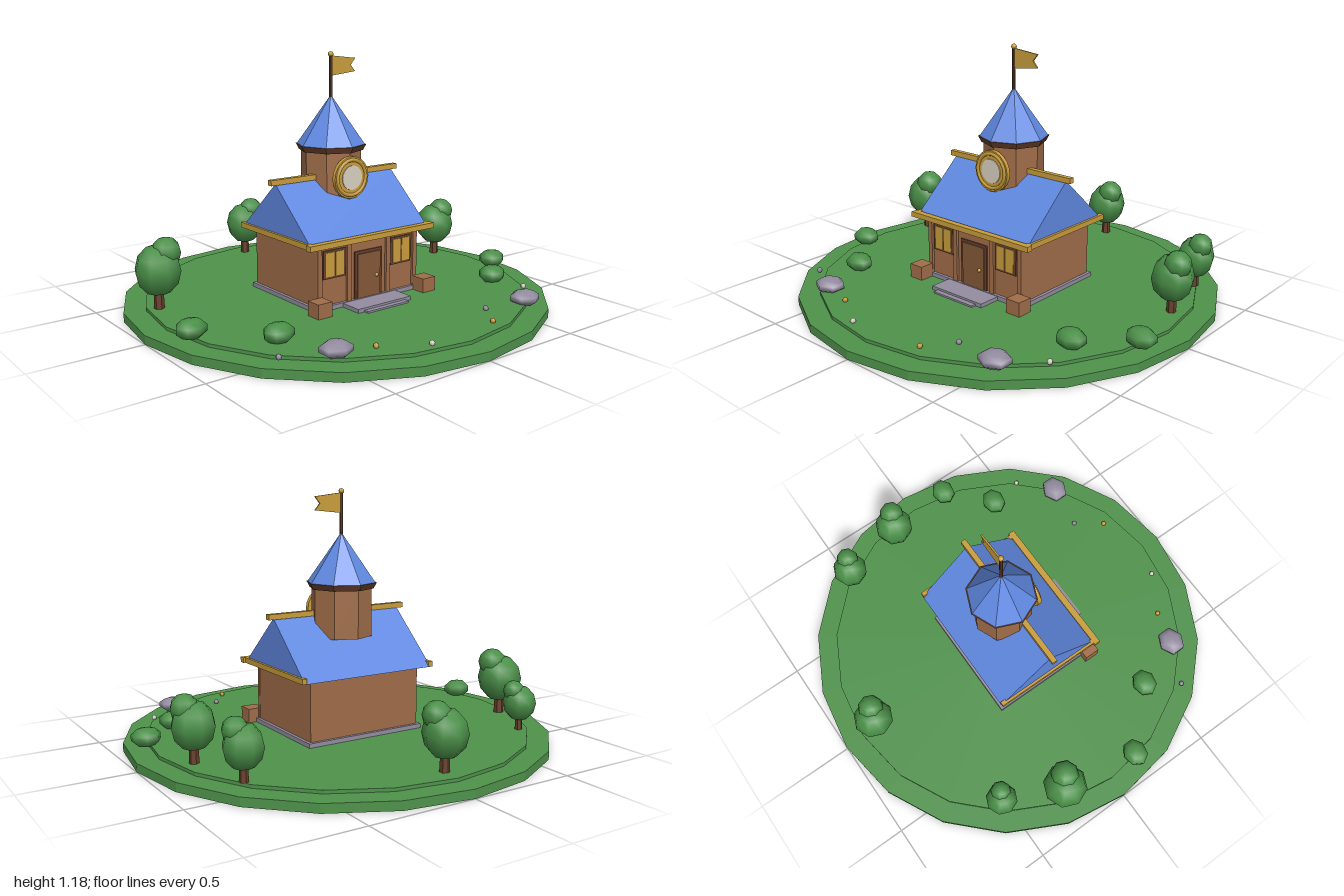
import * as THREE from 'three';

const paint = (name, color) => {
  const m = new THREE.MeshStandardMaterial({ color });
  m.name = name;
  return m;
};

export function createModel() {
  const grass = paint('grass green', 0x4f924b);
  const leaf = paint('leaf green', 0x4a8f48);
  const wood = paint('wall brown', 0xa06d49);
  const dark = paint('dark timber', 0x67402b);
  const doorWood = paint('door brown', 0x855839);
  const blue = paint('roof blue', 0x6088e0);
  const gold = paint('gold', 0xc99d3c);
  const stone = paint('stone grey', 0x938ca0);
  const pale = paint('pale cream', 0xd8d2c0);

  const model = new THREE.Group();
  model.name = 'clockTowerHouse';

  const group = (name, parent = model) => {
    const g = new THREE.Group();
    g.name = name;
    parent.add(g);
    return g;
  };
  const add = (name, geo, mat, x, y, z, parent = model) => {
    const mesh = new THREE.Mesh(geo, mat);
    mesh.name = name;
    mesh.position.set(x, y, z);
    parent.add(mesh);
    return mesh;
  };
  // Box given by its extents along each axis
  const box = (name, mat, [x0, x1], [y0, y1], [z0, z1], parent = model) =>
    add(name, new THREE.BoxGeometry(x1 - x0, y1 - y0, z1 - z0), mat,
      (x0 + x1) / 2, (y0 + y1) / 2, (z0 + z1) / 2, parent);
  // Faceted cylinder between two heights
  const prism = (name, mat, rTop, rBottom, y0, y1, sides, x, z, parent = model) => {
    const geo = new THREE.CylinderGeometry(rTop, rBottom, y1 - y0, sides).toNonIndexed();
    geo.computeVertexNormals();
    return add(name, geo, mat, x, (y0 + y1) / 2, z, parent);
  };
  const ball = (name, mat, r, sides, rings, x, y, z, parent = model) =>
    add(name, new THREE.SphereGeometry(r, sides, rings), mat, x, y, z, parent);

  // Ground discs
  const top = 0.055;
  prism('groundBase', grass, 1, 1, 0, 0.04, 20, 0, 0);
  prism('lawn', grass, 0.9, 0.9, 0.04, top, 20, 0, 0);

  // House body, plinth and steps
  const house = group('house');
  box('plinth', stone, [-0.305, 0.305], [top, 0.075], [-0.255, 0.255], house);
  box('walls', wood, [-0.29, 0.29], [0.07, 0.355], [-0.24, 0.24], house);
  box('upperStep', stone, [-0.155, 0.155], [top, 0.073], [0.25, 0.365], house);
  box('lowerStep', stone, [-0.12, 0.12], [0.05, 0.063], [0.36, 0.39], house);

  // Door
  const door = group('door', house);
  box('doorFrame', dark, [-0.08, 0.08], [0.075, 0.295], [0.238, 0.247], door);
  box('doorPanel', doorWood, [-0.066, 0.066], [0.075, 0.282], [0.243, 0.252], door);
  ball('doorKnob', gold, 0.009, 8, 6, 0.042, 0.17, 0.255, door);
  box('doorPlaque', gold, [-0.105, 0.105], [0.338, 0.352], [0.24, 0.256], house);
  box('frontBeam', dark, [-0.29, 0.29], [0.335, 0.352], [0.238, 0.246], house);

  // Windows, posts and crates on both sides
  for (const s of [-1, 1]) {
    const win = group(s < 0 ? 'rightWindow' : 'leftWindow', house);
    win.position.set(s * 0.195, 0.262, 0);
    box('windowFrame', dark, [-0.062, 0.062], [-0.065, 0.065], [0.238, 0.247], win);
    for (const p of [-1, 1])
      add('windowPane', new THREE.BoxGeometry(0.046, 0.11, 0.008), gold, p * 0.027, 0, 0.246, win);
    for (const x of [0.28, 0.115])
      box('wallPost', wood, [s * x - 0.012, s * x + 0.012], [0.075, 0.34], [0.236, 0.252], house);
    const crate = group('crate');
    crate.position.set(s * 0.307, 0, 0);
    box('crateBox', wood, [-0.038, 0.038], [top, 0.122], [0.25, 0.326], crate);
  }

  // Gable roof with gold trim
  const roof = group('roof');
  const gable = new THREE.Shape([[-0.28, 0.35], [0.28, 0.35], [0, 0.6]].map(p => new THREE.Vector2(...p)));
  const roofGeo = new THREE.ExtrudeGeometry(gable, { depth: 0.68, bevelEnabled: false });
  roofGeo.translate(0, 0, -0.34).rotateY(Math.PI / 2);
  add('roofPrism', roofGeo, blue, 0, 0, 0, roof);
  box('ridgeBeam', gold, [-0.37, 0.37], [0.595, 0.62], [-0.013, 0.013], roof);
  box('frontEaveTrim', gold, [-0.362, 0.362], [0.35, 0.375], [0.262, 0.293], roof);
  for (const s of [-1, 1]) {
    const x = s * 0.341;
    box('sideEaveTrim', gold, [x - 0.011, x + 0.011], [0.35, 0.375], [-0.278, 0.28], roof);
  }

  // Octagonal tower with spire
  const tower = group('tower');
  tower.position.z = -0.035;
  prism('towerBody', wood, 0.143, 0.143, 0.498, 0.73, 8, 0, 0, tower);
  prism('towerCornice', dark, 0.167, 0.152, 0.72, 0.748, 8, 0, 0, tower);
  prism('spire', blue, 0, 0.163, 0.745, 0.977, 8, 0, 0, tower);
  prism('flagPole', dark, 0.008, 0.008, 0.96, 1.165, 8, 0, 0, tower);
  ball('poleFinial', gold, 0.013, 8, 6, 0, 1.164, 0, tower);
  const flag = new THREE.Shape([[0.005, 1.065], [0.142, 1.08], [0.116, 1.11], [0.142, 1.142], [0.005, 1.157]]
    .map(p => new THREE.Vector2(...p)));
  add('flag', new THREE.ExtrudeGeometry(flag, { depth: 0.008, bevelEnabled: false }), gold, 0, 0, -0.004, tower);

  // Clock on the tower front
  const clock = group('clock');
  clock.position.set(0, 0.608, 0.104);
  const disc = (name, mat, r, depth, z) =>
    add(name, new THREE.CylinderGeometry(r, r, depth, 20).rotateX(Math.PI / 2), mat, 0, 0, z, clock);
  disc('clockRim', gold, 0.098, 0.02, 0.01);
  disc('clockFace', pale, 0.057, 0.006, 0.021);
  add('clockRing', new THREE.TorusGeometry(0.082, 0.01, 6, 20), gold, 0, 0, 0.018, clock);

  // Trees: x, z, scale
  const trees = [[0, -0.81, 0.98], [-0.68, -0.52, 0.77], [-0.81, -0.24, 1.07], [0.74, -0.485, 0.88], [0.81, -0.165, 0.98]];
  for (const [x, z, s] of trees) {
    const tree = group('tree');
    tree.position.set(x, top, z);
    tree.scale.setScalar(s);
    prism('trunk', dark, 0.018, 0.023, 0, 0.12, 6, 0, 0, tree);
    ball('lowerCrown', leaf, 0.1, 8, 6, 0, 0.165, 0, tree).scale.y = 1.1;
    ball('upperCrown', leaf, 0.064, 8, 6, 0.032, 0.24, 0.016, tree);
  }

  // Bushes
  for (const [x, z] of [[-0.87, 0.16], [-0.615, 0.42], [0.885, 0.19], [0.675, 0.385]])
    ball('bush', leaf, 0.072, 7, 5, x, 0.088, z).scale.set(1, 0.62, 0.85);

  // Boulders
  for (const [x, z] of [[-0.52, 0.675], [0.545, 0.705]]) {
    const rock = ball('boulder', stone, 0.067, 6, 5, x, 0.077, z);
    rock.rotation.y = Math.PI / 2;
    rock.scale.set(1, 0.52, 1.14);
  }

  // Pebbles and flowers
  const dots = [[-0.725, 0.58, stone], [-0.355, 0.72, gold], [-0.16, 0.835, pale],
    [0.225, 0.805, gold], [0.32, 0.675, stone], [0.705, 0.56, pale]];
  for (const [x, z, mat] of dots)
    ball(mat === stone ? 'pebble' : 'flower', mat, 0.013, 6, 5, x, 0.063, z);

  return model;
}
